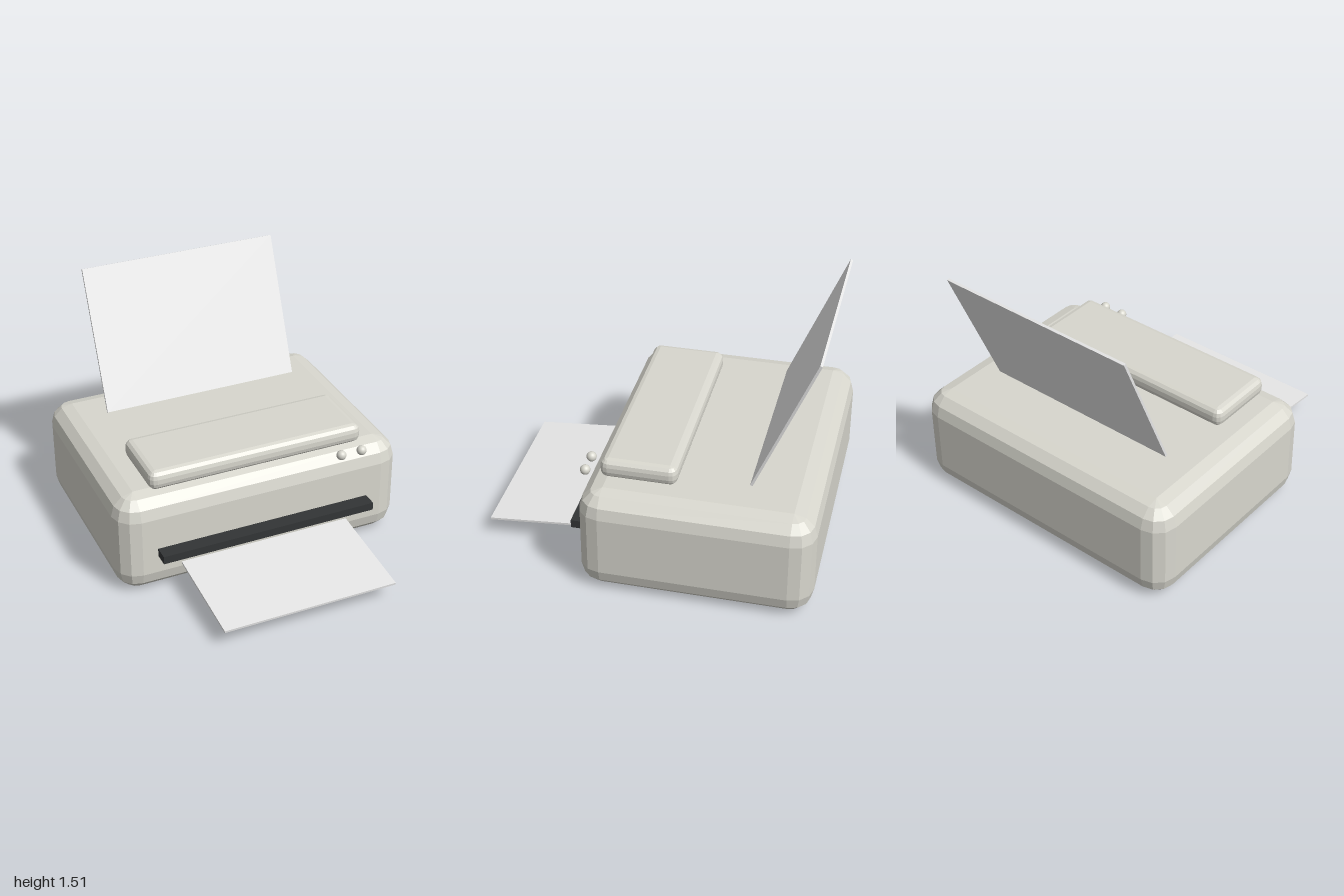
import * as THREE from 'three';

const STEPS = 3; // facets per rounded corner

// Box with faceted, ball-shaped corners, lofted from stacked rounded-rectangle rings
function roundedBlock(w, h, d, r) {
  const pos = [], idx = [];
  const n = 4 * (STEPS + 1);
  const rows = [];
  for (let i = 0; i <= STEPS; i++) rows.push([-1, -Math.PI / 2 + (i / STEPS) * Math.PI / 2]);
  for (let i = 0; i <= STEPS; i++) rows.push([1, (i / STEPS) * Math.PI / 2]);
  for (const [side, lat] of rows) {
    const y = side * (h / 2 - r) + r * Math.sin(lat);
    const rr = r * Math.cos(lat);
    for (let c = 0; c < 4; c++) {
      const cx = (c === 0 || c === 3 ? 1 : -1) * (w / 2 - r);
      const cz = (c < 2 ? 1 : -1) * (d / 2 - r);
      for (let k = 0; k <= STEPS; k++) {
        const a = (c + k / STEPS) * Math.PI / 2;
        pos.push(cx + rr * Math.cos(a), y, cz + rr * Math.sin(a));
      }
    }
  }
  for (let i = 0; i < rows.length - 1; i++) {
    for (let j = 0; j < n; j++) {
      const a = i * n + j, b = i * n + (j + 1) % n;
      idx.push(a, a + n, b, b, a + n, b + n);
    }
  }
  // flat bottom and top
  const top = (rows.length - 1) * n;
  for (let j = 1; j < n - 1; j++) {
    idx.push(0, j, j + 1);
    idx.push(top, top + j + 1, top + j);
  }
  const g = new THREE.BufferGeometry();
  g.setAttribute('position', new THREE.Float32BufferAttribute(pos, 3));
  g.setIndex(idx);
  const flat = g.toNonIndexed();
  flat.computeVertexNormals();
  return flat;
}

export function createModel() {
  const group = new THREE.Group();
  const material = (name, color) => {
    const m = new THREE.MeshStandardMaterial({ color });
    m.name = name;
    return m;
  };
  const casing = material('warm grey casing', 0xd8d7ce);
  casing.flatShading = true;
  const knob = material('warm grey button', 0xd8d7ce);
  const paper = material('paper white', 0xebebeb);
  const black = material('slot black', 0x333536);

  const add = (name, geometry, mat, x, y, z) => {
    const mesh = new THREE.Mesh(geometry, mat);
    mesh.name = name;
    mesh.position.set(x, y, z);
    group.add(mesh);
    return mesh;
  };

  // Thin sheet running between two points of the side profile, given as [y, z]
  const sheet = (name, width, thickness, from, to) => {
    const dy = to[0] - from[0], dz = to[1] - from[1];
    const mesh = add(name, new THREE.BoxGeometry(width, thickness, Math.hypot(dy, dz)), paper,
      0, (from[0] + to[0]) / 2, (from[1] + to[1]) / 2);
    mesh.rotation.x = Math.atan2(-dy, dz);
  };

  // Main casing and raised lid
  add('body', roundedBlock(1.82, 0.64, 1.36, 0.136), casing, 0, 0.32, -0.32);
  add('lid', roundedBlock(1.36, 0.12, 0.45, 0.045), casing, 0, 0.69, 0.045);

  // Black output slot
  add('outputSlot', new THREE.BoxGeometry(1.36, 0.05, 0.15), black, 0, 0.275, 0.375);

  // Feed sheet behind, printed sheet in front
  sheet('feedSheet', 1.26, 0.015, [1.505, -0.945], [0.685, -0.597]);
  sheet('outputSheet', 1.08, 0.013, [0.168, 0.37], [0.115, 1]);

  // Two round buttons
  for (const x of [0.495, 0.63]) {
    add('button', new THREE.SphereGeometry(0.03, 20, 14), knob, x, 0.64, 0.365);
  }
  return group;
}
